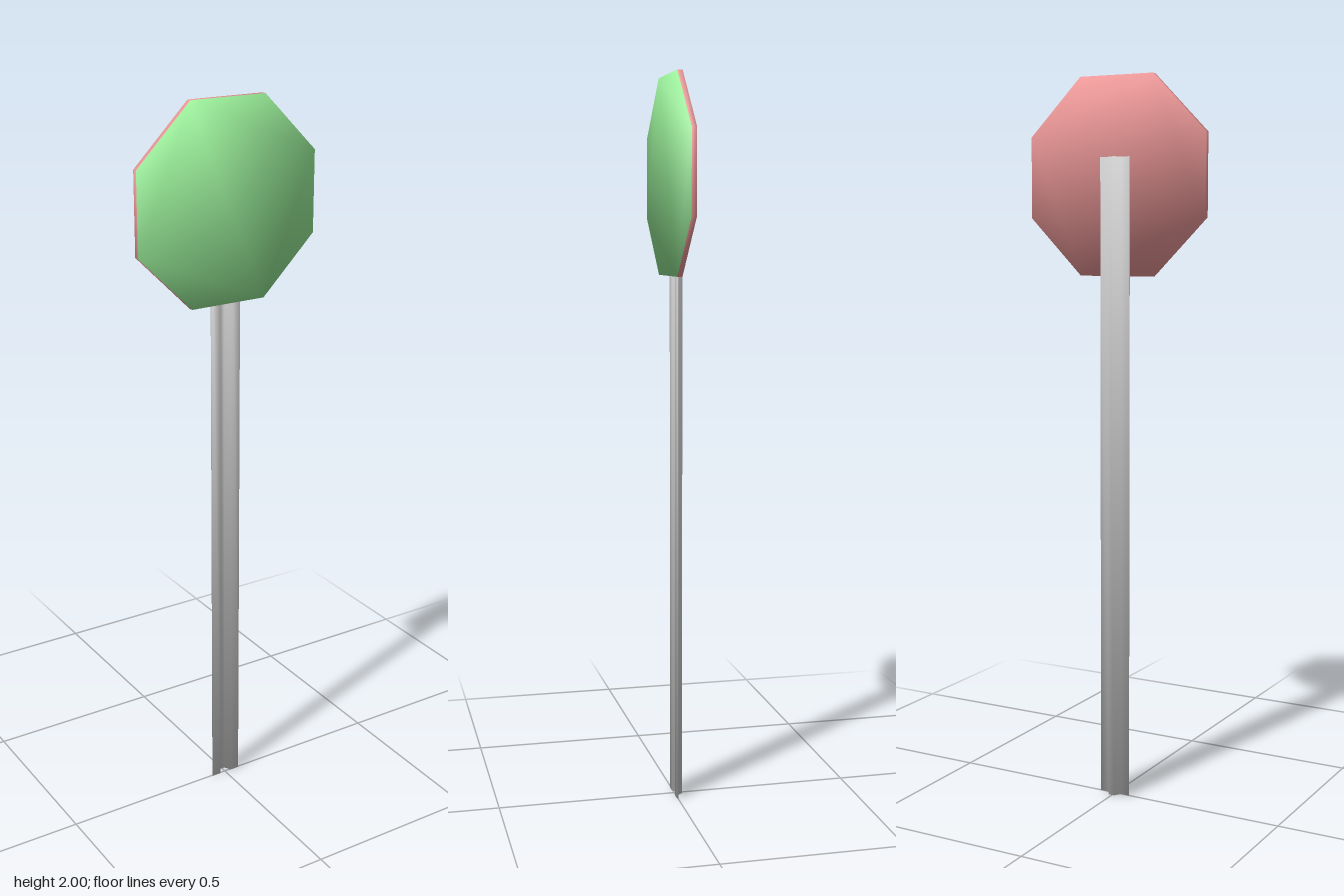
import * as THREE from 'three';

// Soft normals: every corner averages the distinct directions of the faces meeting there
function soften(geo) {
  const pos = geo.attributes.position, corners = new Map();
  const key = i => [pos.getX(i), pos.getY(i), pos.getZ(i)].map(v => Math.round(v * 1e5)).join();
  const tri = new THREE.Triangle();
  for (let i = 0; i < pos.count; i += 3) {
    tri.setFromAttributeAndIndices(pos, i, i + 1, i + 2);
    const n = tri.getNormal(new THREE.Vector3());
    for (let j = i; j < i + 3; j++) {
      const k = key(j);
      if (!corners.has(k)) corners.set(k, []);
      const list = corners.get(k);
      if (!list.some(m => m.dot(n) > 0.999)) list.push(n);
    }
  }
  for (let i = 0; i < pos.count; i++) {
    const n = new THREE.Vector3();
    corners.get(key(i)).forEach(m => n.add(m));
    n.normalize();
    geo.attributes.normal.setXYZ(i, n.x, n.y, n.z);
  }
  return geo;
}

// Keeps only the triangles whose index passes the test
function pick(geo, test) {
  const out = new THREE.BufferGeometry();
  for (const name of ['position', 'normal']) {
    const kept = Array.from(geo.attributes[name].array).filter((_, i) => test(Math.floor(i / 9)));
    out.setAttribute(name, new THREE.Float32BufferAttribute(kept, 3));
  }
  return out;
}

function extrude(points, depth) {
  const shape = new THREE.Shape(points.map(([x, y]) => new THREE.Vector2(x, y)));
  return new THREE.ExtrudeGeometry(shape, { depth, bevelEnabled: false });
}

export function createModel() {
  const group = new THREE.Group();
  const add = (name, geo, color) => {
    const mesh = new THREE.Mesh(geo, new THREE.MeshStandardMaterial({ color }));
    mesh.name = name;
    group.add(mesh);
  };

  // Octagonal plate: coloured face in front, second colour on rim and back
  const radius = 0.267 / Math.cos(Math.PI / 8);
  const octagon = Array.from({ length: 8 }, (_, i) => {
    const a = (i + 0.5) * Math.PI / 4;
    return [radius * Math.cos(a), radius * Math.sin(a)];
  });
  const plate = soften(extrude(octagon, 0.014).translate(0, 1.733, 0.004));
  // An extruded octagon lists 6 back triangles, then 6 front ones, then the rim
  const isFront = t => t >= 6 && t < 12;
  add('signFace', pick(plate, isFront), 0x99ee99);
  add('signBackAndRim', pick(plate, t => !isFront(t)), 0xee9999);

  // Hat-section post, its ridge pointing backwards
  const back = [[0.0445, 0.001], [0.0205, 0.001], [0.0085, 0.02]];
  const front = [[0.0065, 0.016], [0.0178, -0.003], [0.0445, -0.003]];
  const mirror = pts => pts.map(([x, y]) => [-x, y]).reverse();
  const profile = [...back, ...mirror(back), ...mirror(front), ...front];
  const post = extrude(profile, 1.785).rotateX(-Math.PI / 2).translate(0.0015, 0, 0);
  add('post', soften(post), 0xcccccc);

  return group;
}
